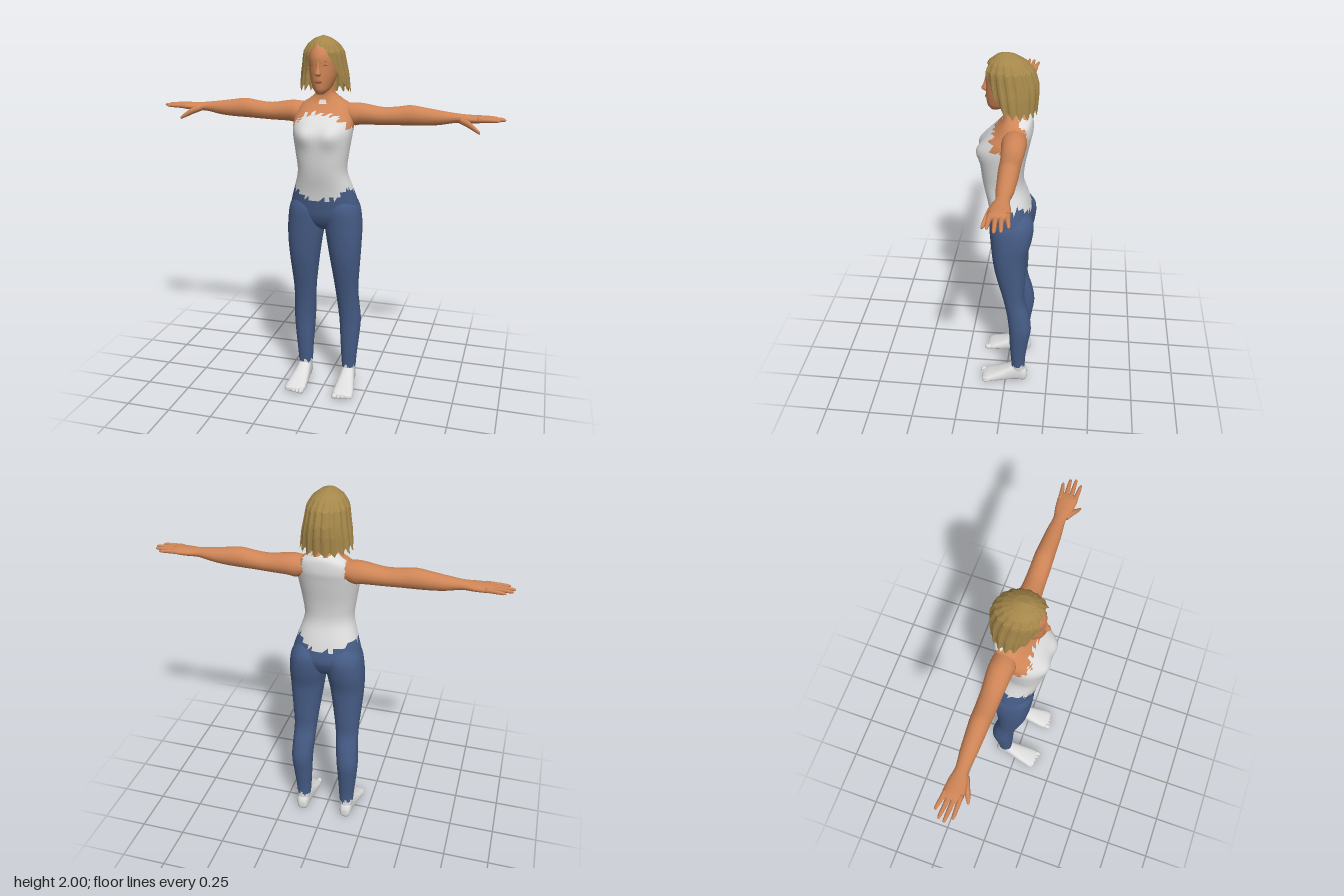
import * as THREE from 'three';

const mat = (name, color, extra = {}) =>
  Object.assign(new THREE.MeshStandardMaterial({ color, ...extra }), { name });

// Smooth interpolation through rows of numbers
function sample(rows, u) {
  const f = u * (rows.length - 1), i = Math.min(Math.floor(f), rows.length - 2), t = f - i;
  const at = k => rows[Math.max(0, Math.min(rows.length - 1, k))];
  return rows[i].map((_, c) => {
    const p0 = at(i - 1)[c], p1 = at(i)[c], p2 = at(i + 1)[c], p3 = at(i + 2)[c];
    return p1 + 0.5 * t * (p2 - p0 + t * (2 * p0 - 5 * p1 + 4 * p2 - p3 + t * (3 * (p1 - p2) + p3 - p0)));
  });
}

// Linear lookup in a table sorted by its first column
function lookup(table, x, c) {
  let i = 0;
  while (i < table.length - 2 && x > table[i + 1][0]) i++;
  const a = table[i], b = table[i + 1];
  return a[c] + (b[c] - a[c]) * THREE.MathUtils.clamp((x - a[0]) / (b[0] - a[0]), 0, 1);
}

// Where (t, a, b) of a section land for each sweep axis
const AXES = {
  x: (t, a, b) => [t, b, a],
  y: (t, a, b) => [a, t, b],
  z: (t, a, b) => [b, a, t],
};

// Closed body through sections [t, aMin, aMax, bMin, bMax]; pick() chooses a material per face
function loft(name, rows, materials, o = {}) {
  const { axis = 'y', side = 1, n = 20, steps = 4, power = 2, bend, pick } = o;
  const count = (rows.length - 1) * steps, pos = [], faces = [];
  const put = (t, a, b) => {
    const p = new THREE.Vector3(...AXES[axis](t, a, b));
    if (bend) bend(p);
    pos.push(p.x * side, p.y, p.z);
  };
  const curve = v => Math.sign(v) * Math.abs(v) ** (2 / power);
  for (let i = 0; i <= count; i++) {
    const [t, a0, a1, b0, b1] = sample(rows, i / count);
    for (let j = 0; j < n; j++) {
      const q = j / n * Math.PI * 2;
      put(t, (a0 + a1) / 2 + (a1 - a0) / 2 * curve(Math.cos(q)),
        (b0 + b1) / 2 + (b1 - b0) / 2 * curve(Math.sin(q)));
    }
  }
  for (const r of [rows[0], rows[rows.length - 1]]) put(r[0], (r[1] + r[2]) / 2, (r[3] + r[4]) / 2);
  const first = (count + 1) * n, last = first + 1;
  for (let j = 0; j < n; j++) {
    const k = (j + 1) % n;
    for (let i = 0; i < count; i++) {
      const A = i * n + j, B = A + n, C = i * n + k, D = C + n;
      faces.push([A, B, C], [B, D, C]);
    }
    faces.push([first, j, k], [last, count * n + k, count * n + j]);
  }
  const g = new THREE.BufferGeometry();
  g.setAttribute('position', new THREE.Float32BufferAttribute(pos, 3));
  const buckets = [].concat(materials).map(() => []);
  for (const f of faces) {
    const mid = c => (pos[f[0] * 3 + c] + pos[f[1] * 3 + c] + pos[f[2] * 3 + c]) / 3;
    const m = pick ? pick(mid(0), mid(1), mid(2)) : 0;
    buckets[m].push(...(side > 0 ? f : [f[0], f[2], f[1]]));
  }
  g.setIndex(buckets.flat());
  if (pick) {
    let start = 0;
    buckets.forEach((b, m) => { g.addGroup(start, b.length, m); start += b.length; });
  }
  g.computeVertexNormals();
  const mesh = new THREE.Mesh(g, materials);
  mesh.name = name;
  return mesh;
}

// Chin length hair: ridged locks hanging from the crown with an uneven lower edge
function makeHair(material) {
  const shape = [ // drop from top, half width, front z, back z
    [0, 0, 0.02, 0.0], [0.012, 0.04, 0.055, -0.04], [0.04, 0.078, 0.09, -0.09], [0.08, 0.103, 0.115, -0.13],
    [0.15, 0.114, 0.112, -0.152], [0.2, 0.124, 0.1, -0.154], [0.31, 0.135, 0.07, -0.146]];
  const edge = [[0, 1.955], [25, 1.93], [38, 1.87], [52, 1.8], [68, 1.735], [90, 1.72], [180, 1.705]];
  const locks = 18, sub = 4, n = locks * sub, rows = 14, pos = [], idx = [];
  for (let i = 0; i <= rows; i++) for (let j = 0; j <= n; j++) {
    const q = (j / n * 2 - 1) * Math.PI, deg = Math.abs(q) * 180 / Math.PI;
    const saw = Math.abs(((j % sub) / sub) - 0.4);
    const bottom = lookup(edge, deg, 1) + (saw - 0.2) * 0.06 + 0.008 * Math.sin(j * 1.7);
    const drop = (2 - bottom) * (i / rows) ** 1.5;
    const front = lookup(shape, drop, 2), back = lookup(shape, drop, 3);
    const k = 1 + (0.2 - saw) * 0.16 * Math.min(1, drop / 0.06);
    pos.push(Math.sin(q) * lookup(shape, drop, 1) * k, 2 - drop,
      (front + back) / 2 + Math.cos(q) * (front - back) / 2 * k);
    if (i < rows && j < n) {
      const A = i * (n + 1) + j, B = A + n + 1;
      idx.push(A, B, A + 1, B, B + 1, A + 1);
    }
  }
  const g = new THREE.BufferGeometry();
  g.setAttribute('position', new THREE.Float32BufferAttribute(pos, 3));
  g.setIndex(idx);
  g.computeVertexNormals();
  const mesh = new THREE.Mesh(g, material);
  mesh.name = 'hair';
  return mesh;
}

export function createModel() {
  const skin = mat('skin', 0xd08657), white = mat('white cloth', 0xdedede), denim = mat('blue denim', 0x465c86);
  const hair = mat('blonde hair', 0xa5874a, { flatShading: true, side: THREE.DoubleSide });
  const lip = mat('lips', 0xa9604a);
  const model = new THREE.Group();
  model.name = 'standingWoman';
  const jag = (x, z) => 0.012 * Math.sin(x * 150 + z * 110);

  // Hips, sleeveless top, shoulders and neck in one body
  model.add(loft('torso', [
    [0.97, -0.05, 0.05, -0.06, 0.02], [1.0, -0.11, 0.11, -0.1, 0.055], [1.05, -0.175, 0.175, -0.128, 0.08],
    [1.1, -0.188, 0.188, -0.138, 0.09], [1.2, -0.16, 0.16, -0.115, 0.105], [1.3, -0.132, 0.132, -0.085, 0.128],
    [1.4, -0.142, 0.142, -0.09, 0.14], [1.5, -0.157, 0.157, -0.11, 0.142], [1.56, -0.16, 0.16, -0.122, 0.112],
    [1.6, -0.15, 0.15, -0.13, 0.075], [1.645, -0.13, 0.13, -0.128, 0.035], [1.675, -0.085, 0.085, -0.12, 0.02],
    [1.71, -0.05, 0.05, -0.088, 0.018], [1.78, -0.045, 0.045, -0.075, 0.035],
  ], [skin, white, denim], {
    n: 44, power: 2.3,
    bend: p => { // bust
      if (p.z > 0.02) p.z += 0.022 * Math.exp(-(((Math.abs(p.x) - 0.07) / 0.05) ** 2) - ((p.y - 1.5) / 0.05) ** 2);
    },
    pick: (x, y, z) => {
      const w = Math.abs(x);
      if (y < 1.15 + 0.05 * Math.min(1, (w / 0.14) ** 2) + jag(x, z)) return 2;
      if (z > 0 && w < 0.018 && y > 1.652 && y < 1.675) return 1;
      const top = z > -0.06 ? 1.605 - 0.95 * Math.max(0, w - 0.08) : w < 0.11 ? 1.69 : 1.58;
      return y < top + jag(x, z) ? 1 : 0;
    },
  }));

  // Head and face
  model.add(loft('head', [
    [1.71, -0.018, 0.018, 0.04, 0.085], [1.73, -0.04, 0.04, -0.03, 0.1], [1.76, -0.055, 0.055, -0.08, 0.106],
    [1.8, -0.068, 0.068, -0.11, 0.108], [1.85, -0.075, 0.075, -0.12, 0.108], [1.9, -0.075, 0.075, -0.12, 0.108],
    [1.95, -0.058, 0.058, -0.08, 0.082], [1.975, -0.02, 0.02, -0.03, 0.04]], skin, { n: 28 }));
  model.add(loft('nose', [[1.803, -0.01, 0.01, 0.09, 0.112], [1.815, -0.016, 0.016, 0.09, 0.131],
    [1.84, -0.01, 0.01, 0.09, 0.12], [1.875, -0.006, 0.006, 0.09, 0.11]], skin, { n: 10 }));
  model.add(loft('mouth', [[1.767, -0.01, 0.01, 0.1, 0.107], [1.775, -0.02, 0.02, 0.095, 0.112],
    [1.783, -0.012, 0.012, 0.1, 0.11]], lip, { n: 12 }));
  model.add(makeHair(hair));

  for (const side of [1, -1]) {
    const s = side > 0 ? 'left' : 'right';
    // Eyes and brows
    for (const [part, y, h, material] of [['Eye', 1.858, 0.004, lip], ['Brow', 1.88, 0.003, hair]]) {
      const m = new THREE.Mesh(new THREE.SphereGeometry(1, 10, 6), material);
      m.scale.set(0.014, h, 0.004);
      m.position.set(side * 0.032, y, 0.0955);
      m.rotation.y = side * 0.35;
      m.name = s + part;
      model.add(m);
    }

    // Arm, fingers and thumb
    const arm = { axis: 'x', side, n: 16 }, finger = { axis: 'x', side, n: 8, steps: 3 };
    model.add(loft(s + 'Arm', [
      [0.09, -0.1, 0.0, 1.56, 1.648], [0.15, -0.11, 0.016, 1.537, 1.656], [0.2, -0.11, 0.012, 1.543, 1.655],
      [0.3, -0.102, 0.005, 1.545, 1.64], [0.38, -0.1, 0.003, 1.548, 1.645], [0.45, -0.1, 0, 1.55, 1.655],
      [0.53, -0.095, -0.004, 1.553, 1.645], [0.6, -0.09, -0.008, 1.56, 1.635], [0.68, -0.08, -0.015, 1.575, 1.625],
      [0.74, -0.09, 0, 1.578, 1.62], [0.8, -0.095, 0.006, 1.582, 1.618], [0.83, -0.09, 0, 1.59, 1.612]], skin, arm));
    [[-0.08, -0.094, 0.89], [-0.056, -0.066, 0.922], [-0.032, -0.038, 0.93], [-0.008, -0.006, 0.905]]
      .forEach(([z0, z1, tip], k) => model.add(loft(s + 'Finger' + (k + 1), [
        [0.79, z0 - 0.013, z0 + 0.013, 1.589, 1.615], [(0.79 + tip) / 2, (z0 + z1) / 2 - 0.011, (z0 + z1) / 2 + 0.011, 1.591, 1.613],
        [tip - 0.012, z1 - 0.008, z1 + 0.008, 1.594, 1.609], [tip, z1 - 0.003, z1 + 0.003, 1.598, 1.604]], skin, finger)));
    model.add(loft(s + 'Thumb', [[0.7, -0.035, -0.005, 1.58, 1.61], [0.745, -0.02, 0.014, 1.563, 1.6],
      [0.785, 0.004, 0.028, 1.545, 1.572], [0.81, 0.02, 0.032, 1.535, 1.55]], skin, finger));

    // Trouser leg, ending in a ragged hem at the ankle
    model.add(loft(s + 'Leg', [
      [0.05, 0.1, 0.165, -0.12, -0.035], [0.13, 0.09, 0.172, -0.115, -0.035], [0.2, 0.086, 0.178, -0.12, -0.03],
      [0.3, 0.08, 0.188, -0.134, -0.024], [0.4, 0.074, 0.195, -0.147, -0.02], [0.5, 0.066, 0.19, -0.132, -0.008],
      [0.6, 0.058, 0.186, -0.106, 0.012], [0.7, 0.046, 0.192, -0.107, 0.037], [0.8, 0.032, 0.2, -0.11, 0.06],
      [0.9, 0.017, 0.206, -0.116, 0.074], [1.0, 0.002, 0.206, -0.14, 0.083], [1.1, 0, 0.191, -0.145, 0.088],
      [1.17, 0.03, 0.15, -0.1, 0.06]], [white, denim],
    { side, n: 24, steps: 5, power: 2.2, pick: (x, y, z) => y < 0.118 + jag(Math.abs(x), z) ? 0 : 1 }));

    // Foot and toes
    model.add(loft(s + 'Foot', [
      [-0.13, 0.02, 0.06, 0.115, 0.15], [-0.112, 0, 0.095, 0.1, 0.165], [-0.06, 0, 0.12, 0.094, 0.17],
      [0, 0, 0.09, 0.088, 0.182], [0.06, 0, 0.062, 0.083, 0.194], [0.11, 0, 0.042, 0.083, 0.2],
      [0.135, 0.006, 0.028, 0.095, 0.188]], white, { axis: 'z', side, n: 20, power: 2.6 }));
    for (let k = 0; k < 5; k++) {
      const toe = new THREE.Mesh(new THREE.SphereGeometry(1, 10, 8), white);
      const r = k ? 0.012 : 0.016;
      toe.scale.set(r, r, 0.026);
      toe.position.set(side * (0.1 + k * 0.0225), r + 0.002, 0.13 - k * 0.006);
      toe.name = s + 'Toe' + (k + 1);
      model.add(toe);
    }
  }
  return model;
}
